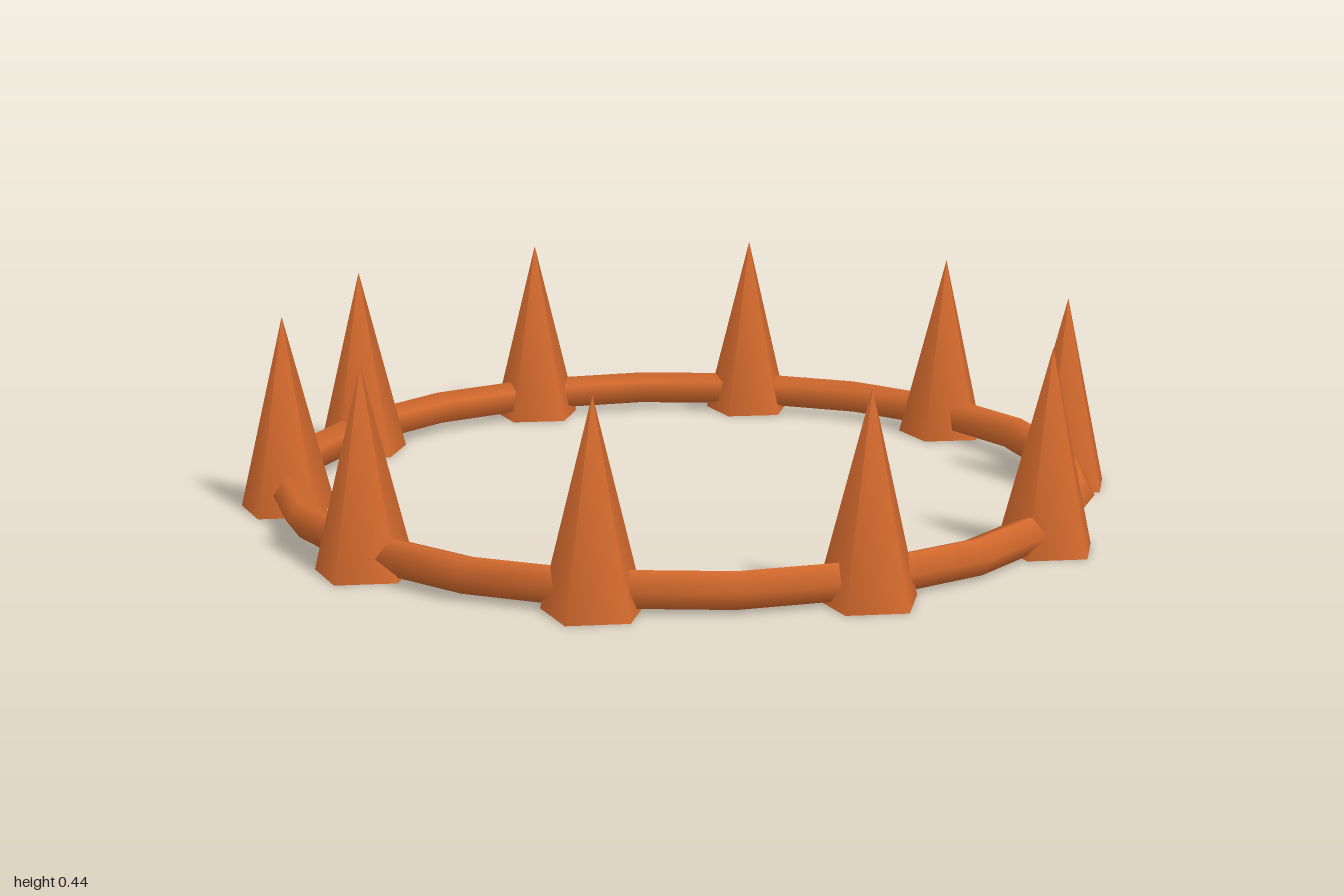
import * as THREE from 'three';

export function createModel() {
  const group = new THREE.Group();
  group.name = 'spikedRing';

  const copper = new THREE.MeshStandardMaterial({ color: 0xd2692d });
  copper.name = 'copper';

  const ringRadius = 0.895;
  const spikeCount = 10;
  const spikeHeight = 0.44;
  const zOffset = -0.01; // balances the uneven reach of the five-sided spikes

  // Thin five-sided band joining the spikes
  const band = new THREE.Mesh(new THREE.TorusGeometry(ringRadius, 0.042, 5, 20), copper);
  band.name = 'band';
  band.rotation.x = Math.PI / 2;
  band.position.set(0, 0.05, zOffset);
  group.add(band);

  // Five-sided spikes, all turned the same way
  const spikeGeometry = new THREE.ConeGeometry(0.11, spikeHeight, 5);
  for (let i = 0; i < spikeCount; i++) {
    const angle = (i / spikeCount) * Math.PI * 2;
    const spike = new THREE.Mesh(spikeGeometry, copper);
    spike.name = `spike${i + 1}`;
    spike.position.set(
      Math.cos(angle) * ringRadius,
      spikeHeight / 2,
      Math.sin(angle) * ringRadius + zOffset
    );
    group.add(spike);
  }

  return group;
}
